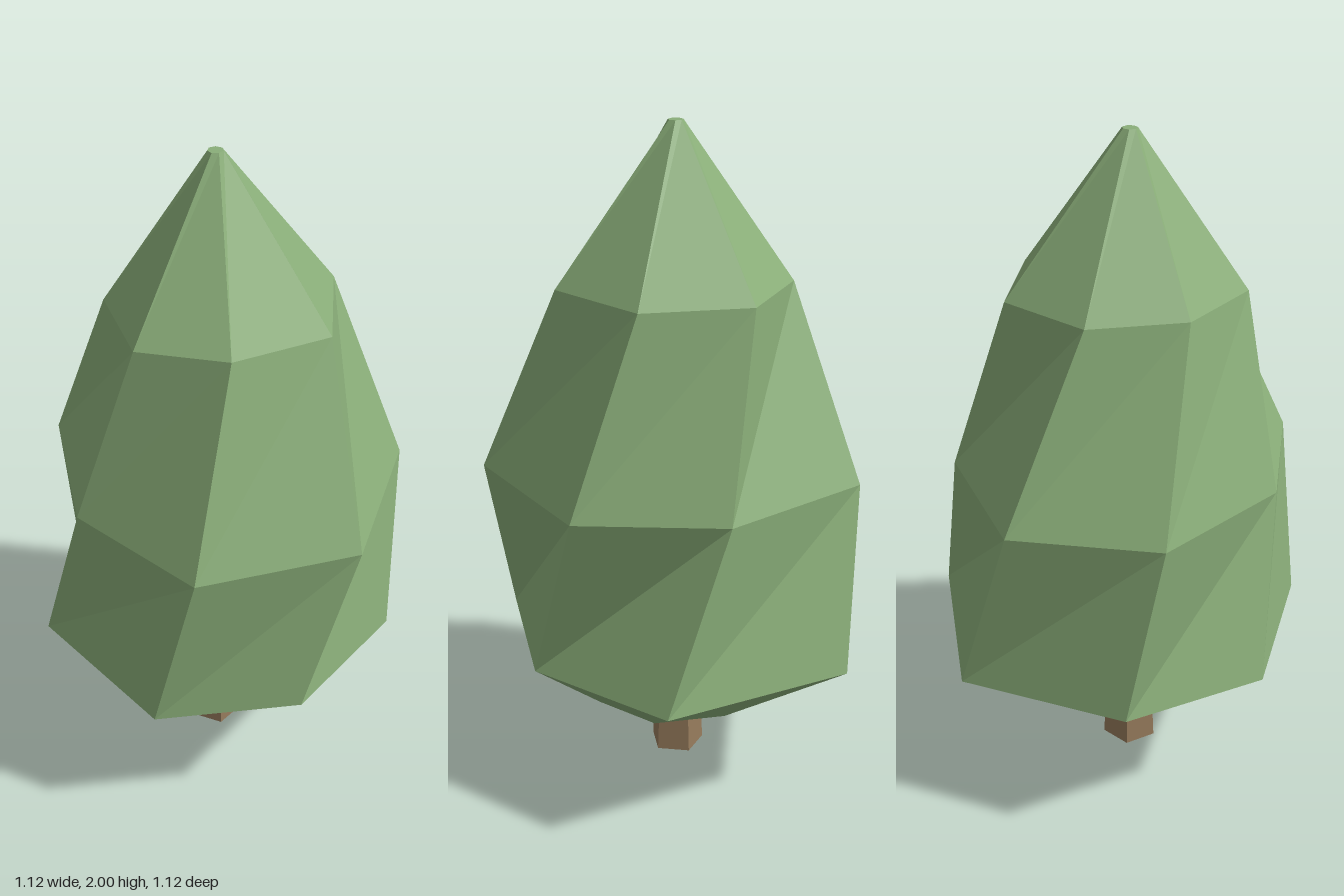
import * as THREE from 'three';

const foliageGreen = new THREE.MeshStandardMaterial({ color: 0x8aae79 });
foliageGreen.name = 'foliage green';
const barkBrown = new THREE.MeshStandardMaterial({ color: 0x967b5c });
barkBrown.name = 'bark brown';

// Regular ring of [x, z] corners, starting at an angle in degrees
function polygon(sides, radius, cx, cz, startDeg) {
  return Array.from({ length: sides }, (_, i) => {
    const a = THREE.MathUtils.degToRad(startDeg + (i * 360) / sides);
    return [cx + radius * Math.cos(a), cz + radius * Math.sin(a)];
  });
}

// Faceted solid through stacked rings, closed at both ends
function loft(rings) {
  const positions = [];
  const tri = (...corners) => corners.forEach((c) => positions.push(...c));
  const at = (ring, i) => {
    const [x, z] = ring.points[i % ring.points.length];
    return [x, ring.y, z];
  };
  const n = rings[0].points.length;
  for (let r = 0; r < rings.length - 1; r++) {
    const low = rings[r], high = rings[r + 1];
    for (let i = 0; i < n; i++) {
      tri(at(low, i), at(high, i), at(low, i + 1));
      tri(at(low, i + 1), at(high, i), at(high, i + 1));
    }
  }
  const bottom = rings[0], top = rings[rings.length - 1];
  for (let i = 1; i < n - 1; i++) {
    tri(at(bottom, 0), at(bottom, i), at(bottom, i + 1));
    tri(at(top, 0), at(top, i + 1), at(top, i));
  }
  const geometry = new THREE.BufferGeometry();
  geometry.setAttribute('position', new THREE.Float32BufferAttribute(positions, 3));
  geometry.computeVertexNormals();
  return geometry;
}

export function createModel() {
  const tree = new THREE.Group();
  tree.name = 'tree';

  // Crown: irregular seven-sided rings that twist on the way up
  const crown = new THREE.Mesh(loft([
    { y: 0.205, points: [[-0.2, -0.07], [-0.07, -0.2], [0.1, -0.175], [0.2, 0.02], [0.13, 0.22], [-0.07, 0.255], [-0.22, 0.12]] },
    { y: 0.46, points: [[-0.565, -0.075], [-0.335, -0.46], [0.17, -0.56], [0.56, -0.13], [0.41, 0.32], [0.01, 0.54], [-0.405, 0.425]] },
    { y: 0.99, points: [[-0.495, 0.09], [-0.4, -0.365], [0.005, -0.545], [0.395, -0.265], [0.5, 0.165], [0.17, 0.555], [-0.305, 0.5]] },
    { y: 1.55, points: [[-0.335, 0.17], [-0.315, -0.115], [-0.105, -0.31], [0.185, -0.27], [0.325, 0.02], [0.175, 0.31], [-0.12, 0.32]] },
    { y: 2, points: polygon(7, 0.022, -0.036, 0.02, 140) },
  ]), foliageGreen);
  crown.name = 'crown';

  // Trunk: tapered five-sided post reaching just inside the crown
  const trunk = new THREE.Mesh(loft([
    { y: 0, points: polygon(5, 0.085, -0.045, 0.022, 100) },
    { y: 0.25, points: polygon(5, 0.073, -0.045, 0.022, 100) },
  ]), barkBrown);
  trunk.name = 'trunk';

  tree.add(crown, trunk);
  return tree;
}
